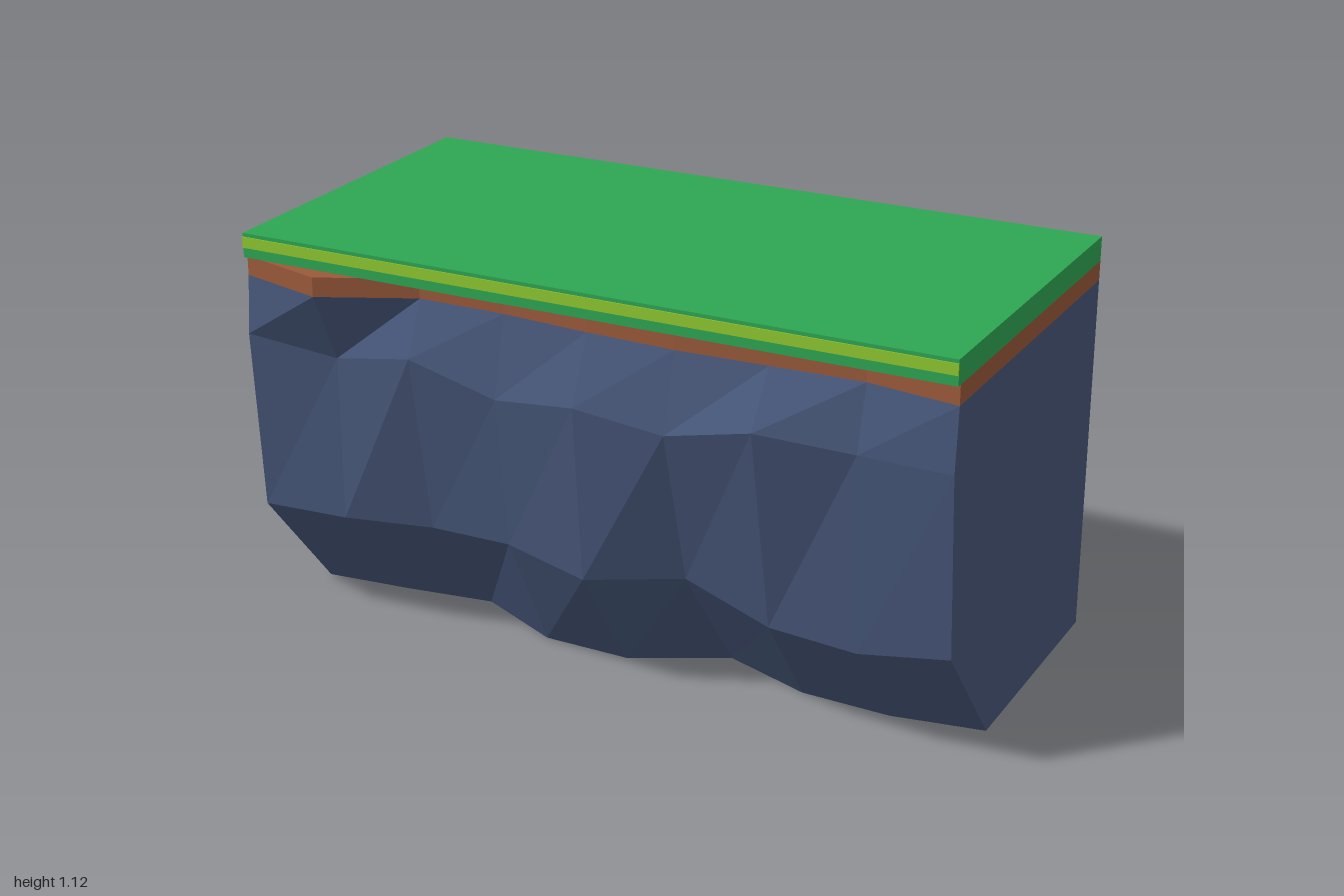
import * as THREE from 'three';

const BACK = -0.53;

// Ragged cliff front, nine columns from x = -1 to x = 1
const foot = [0.165, 0.14, 0.105, 0.225, 0.23, 0.1, 0.19, 0.2, 0.16];
const lowerY = [0.335, 0.34, 0.345, 0.36, 0.335, 0.355, 0.29, 0.285, 0.33];
const lowerZ = [0.443, 0.434, 0.39, 0.415, 0.467, 0.376, 0.41, 0.43, 0.437];
const upperY = [0.84, 0.8, 0.855, 0.785, 0.825, 0.795, 0.86, 0.83, 0.83];
const upperZ = [0.475, 0.434, 0.476, 0.466, 0.51, 0.5, 0.527, 0.467, 0.474];
const rim = [0.46, 0.527, 0.41, 0.41, 0.43, 0.44, 0.43, 0.42, 0.46];

// Joins closed (z, y) cross-sections along x and caps both ends
function loft(sections) {
  const pos = [];
  const last = sections.length - 1;
  const n = sections[0].length;
  const put = (i, k) => {
    const [z, y] = sections[i][k % n];
    pos.push(-1 + (2 * i) / last, y, z);
  };
  for (let i = 0; i < last; i++) {
    for (let k = 0; k < n; k++) {
      put(i, k); put(i + 1, k); put(i + 1, k + 1);
      put(i, k); put(i + 1, k + 1); put(i, k + 1);
    }
  }
  for (let k = 1; k < n - 1; k++) {
    put(0, 0); put(0, k); put(0, k + 1);
    put(last, 0); put(last, k + 1); put(last, k);
  }
  const geo = new THREE.BufferGeometry();
  geo.setAttribute('position', new THREE.Float32BufferAttribute(pos, 3));
  geo.computeVertexNormals();
  return geo;
}

function material(name, color) {
  const m = new THREE.MeshStandardMaterial({ color });
  m.name = name;
  return m;
}

export function createModel() {
  const group = new THREE.Group();
  group.name = 'cliffBlock';
  const rock = material('slate rock', 0x465678);
  const soil = material('brown soil', 0x99593a);
  const grass = material('green grass', 0x2ea552);
  const lime = material('lime trim', 0x8fc630);

  const add = (name, geo, mat) => {
    const mesh = new THREE.Mesh(geo, mat);
    mesh.name = name;
    group.add(mesh);
    return mesh;
  };

  // Rock body, undercut at the foot
  add('rockBody', loft(foot.map((z, i) => [
    [BACK, 0], [z, 0], [lowerZ[i], lowerY[i]], [upperZ[i], upperY[i]], [rim[i], 1], [BACK, 1],
  ])), rock);

  // Soil layer follows the rock's rim
  add('soilLayer', loft(rim.map((z) => [
    [BACK, 1], [z, 1], [z, 1.053], [BACK, 1.053],
  ])), soil);

  // Grass slab
  add('grassSlab', new THREE.BoxGeometry(2, 0.067, 0.475 - BACK), grass)
    .position.set(0, 1.0865, (0.475 + BACK) / 2);

  // Lime stripe along the front of the grass
  add('grassStripe', new THREE.BoxGeometry(2, 0.03, 0.003), lime)
    .position.set(0, 1.095, 0.4765);

  return group;
}
